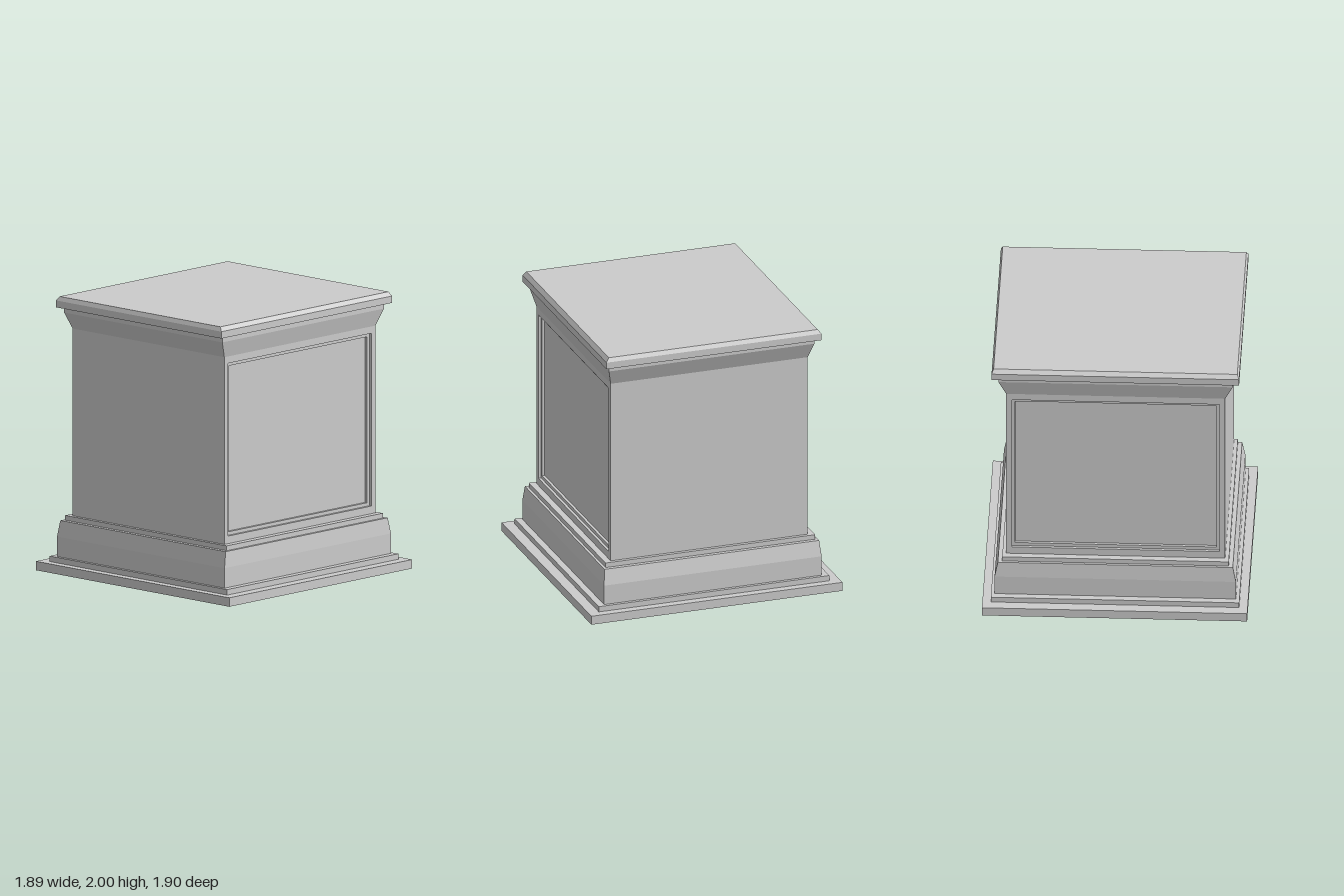
import * as THREE from 'three';

const material = new THREE.MeshStandardMaterial({ color: 0xcccccc, flatShading: true });

// Rectangular moulding: each profile row is [half width, half depth, y], bottom to top.
function moulding(name, profile) {
  const rings = profile.map(([w, d, y]) => [[-w, y, d], [w, y, d], [w, y, -d], [-w, y, -d]]);
  const points = [];
  const quad = (a, b, c, d) => points.push(...a, ...b, ...c, ...a, ...c, ...d);
  for (let i = 0; i < rings.length - 1; i++) {
    const lower = rings[i], upper = rings[i + 1];
    for (let k = 0; k < 4; k++) {
      const n = (k + 1) % 4;
      quad(lower[k], lower[n], upper[n], upper[k]);
    }
  }
  const bottom = rings[0], top = rings[rings.length - 1];
  quad(bottom[3], bottom[2], bottom[1], bottom[0]);
  quad(top[0], top[1], top[2], top[3]);
  const geometry = new THREE.BufferGeometry();
  geometry.setAttribute('position', new THREE.Float32BufferAttribute(points, 3));
  geometry.computeVertexNormals();
  const mesh = new THREE.Mesh(geometry, material);
  mesh.name = name;
  return mesh;
}

function rectangle(PathType, halfWidth, y0, y1) {
  return new PathType([
    [-halfWidth, y0], [halfWidth, y0], [halfWidth, y1], [-halfWidth, y1],
  ].map(([x, y]) => new THREE.Vector2(x, y)));
}

export function createModel() {
  const group = new THREE.Group();
  group.name = 'pedestal';
  const bodyWidth = 0.78, bodyDepth = 0.745, bodyBottom = 0.4, bodyTop = 1.76, step = 0.02;

  // Stepped plinth with a sloped shoulder
  group.add(moulding('base', [
    [0.945, 0.95, 0], [0.945, 0.95, 0.065],
    [0.885, 0.872, 0.065], [0.885, 0.872, 0.105],
    [0.86, 0.823, 0.105], [0.86, 0.823, 0.25],
    [0.837, 0.812, 0.365], [0.807, 0.793, 0.365],
    [0.807, 0.793, bodyBottom],
  ]));

  // Flared cornice and chamfered top slab
  group.add(moulding('cornice', [
    [bodyWidth, bodyDepth, bodyTop], [0.835, 0.777, 1.88], [0.835, 0.777, 1.92],
    [0.882, 0.813, 1.92], [0.882, 0.813, 1.97], [0.868, 0.79, 2],
  ]));

  // Body core, whose front and back are the recessed panels
  const coreDepth = bodyDepth - 2 * step;
  group.add(moulding('body', [
    [bodyWidth, coreDepth, bodyBottom], [bodyWidth, coreDepth, bodyTop],
  ]));

  // Two stepped frames around the panel, on the front and the back
  for (const side of ['front', 'back']) {
    const frames = new THREE.Group();
    frames.name = side + 'PanelFrame';
    [[0.717, 0.48, 1.685], [0.74, 0.455, 1.71]].forEach(([w, y0, y1], i) => {
      const shape = rectangle(THREE.Shape, bodyWidth, bodyBottom, bodyTop);
      shape.holes.push(rectangle(THREE.Path, w, y0, y1));
      const geometry = new THREE.ExtrudeGeometry(shape, { depth: step, bevelEnabled: false });
      const mesh = new THREE.Mesh(geometry, material);
      mesh.name = i ? 'outerFrame' : 'innerFrame';
      mesh.position.z = coreDepth + i * step;
      frames.add(mesh);
    });
    if (side === 'back') frames.rotation.y = Math.PI;
    group.add(frames);
  }
  return group;
}
